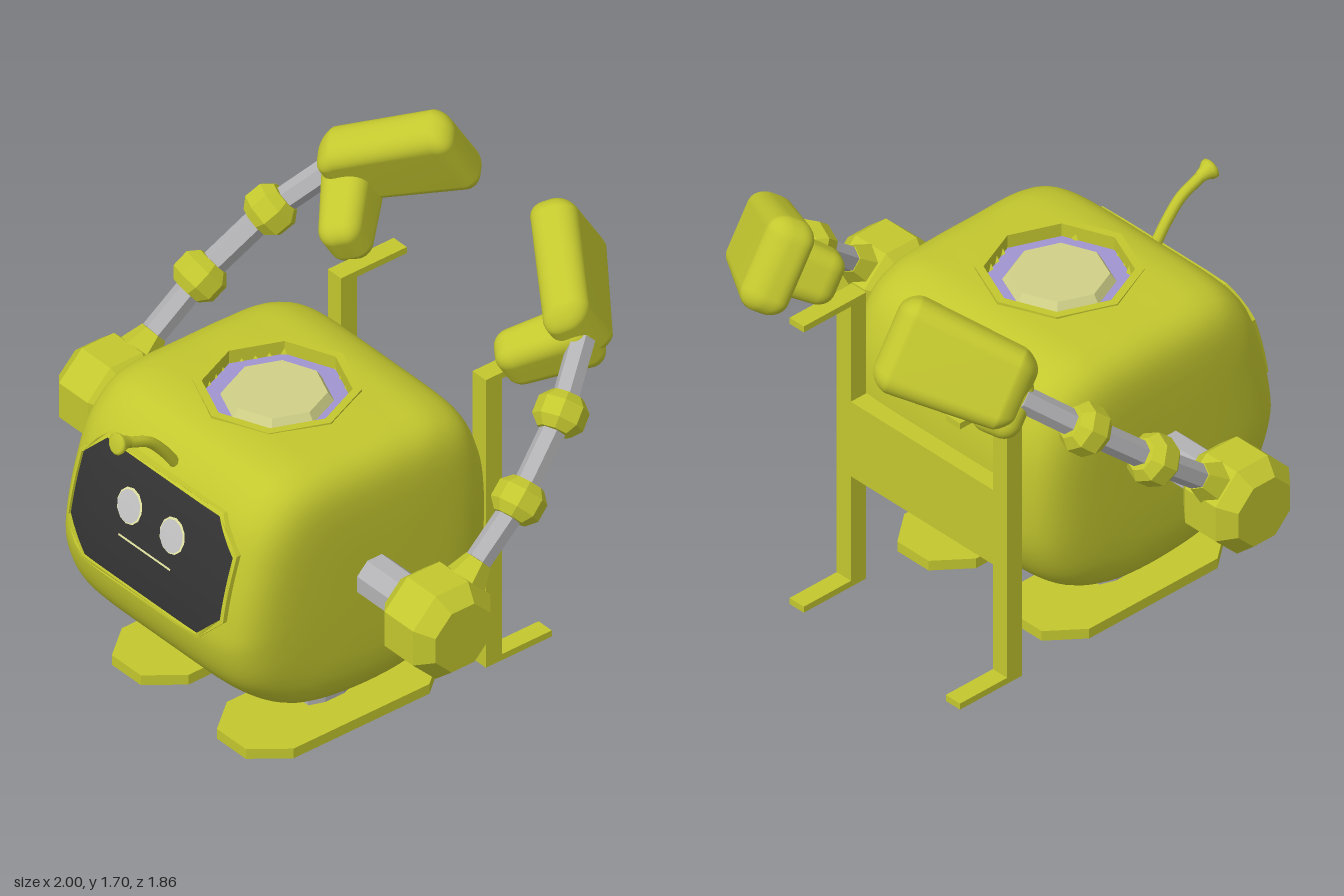
import * as THREE from 'three';
import { mergeVertices } from 'three/addons/utils/BufferGeometryUtils.js';
import { RoundedBoxGeometry } from 'three/addons/geometries/RoundedBoxGeometry.js';

const mat = (name, color) => {
  const m = new THREE.MeshStandardMaterial({ color });
  m.name = name;
  return m;
};
const V = (x, y, z) => new THREE.Vector3(x, y, z);

// Faceted copy of a geometry
function flat(geo) {
  const g = geo.index ? geo.toNonIndexed() : geo;
  g.computeVertexNormals();
  return g;
}
const lathe = (pts, sides) => flat(new THREE.LatheGeometry(pts.map(p => new THREE.Vector2(...p)), sides));

// Drum with chamfered ends
const drum = (r, len, end, chamfer, sides = 8) => lathe([
  [0, -len / 2], [end, -len / 2], [r, -len / 2 + chamfer],
  [r, len / 2 - chamfer], [end, len / 2], [0, len / 2]], sides);

// Octagon outline, each side subdivided so it can be bent
function octagon(w, h, c, n = 6) {
  const p = [[w, -h + c], [w, h - c], [w - c, h], [c - w, h], [-w, h - c], [-w, c - h], [c - w, -h], [w - c, -h]];
  return p.flatMap(([x, y], i) => {
    const [u, v] = p[(i + 1) % 8];
    return Array.from({ length: n }, (_, k) => new THREE.Vector2(x + (u - x) * k / n, y + (v - y) * k / n));
  });
}

// Rounded body: a side outline (z, y) swept across x and shrunk toward both sides
const HATCH_Z = 0.225;
function bodyGeometry() {
  const outline = [[.5, 1.188], [.6, 1.155], [.7, 1.05], [.765, .88], [.808, .68], [.812, .56], [.75, .4], [.56, .24],
    [.32, .185], [0, .2], [-.2, .295], [-.31, .46], [-.345, .7], [-.32, .95], [-.24, 1.11], [-.12, 1.175],
    [.05, 1.19], [.25, 1.192]];
  const curve = new THREE.CatmullRomCurve3(outline.map(([z, y]) => V(0, y, z)), true);
  const M = 160, ring = curve.getSpacedPoints(M), n = 6.5, half = [];
  for (let i = 1; i <= 22; i++) {
    const x = i * 0.019;
    half.push([x, Math.pow(1 - Math.pow(x / .53, n), 1 / n)]);
  }
  for (const s of [.94, .91, .87, .82, .76, .68, .55, .3, 0]) half.push([.53 * Math.pow(1 - Math.pow(s, n), 1 / n), s]);
  const rings = [...half.map(([x, s]) => [-x, s]).reverse(), [0, 1], ...half];
  const pos = [], idx = [];
  rings.forEach(([x, s], i) => {
    for (let j = 0; j < M; j++) {
      pos.push(x, .685 + (ring[j].y - .685) * s, .235 + (ring[j].z - .235) * s);
      if (i === rings.length - 1) continue;
      const a = i * M + j, c = i * M + (j + 1) % M;
      idx.push(a, c, a + M, a + M, c, c + M);
    }
  });
  const g = new THREE.BufferGeometry();
  g.setAttribute('position', new THREE.Float32BufferAttribute(pos, 3));
  g.setIndex(idx);
  g.computeVertexNormals();
  // Sink the top inside the octagonal hatch
  const p = g.attributes.position;
  for (let i = 0; i < p.count; i++) {
    const x = Math.abs(p.getX(i)), z = Math.abs(p.getZ(i) - HATCH_Z);
    const r = Math.max(x, z) + Math.min(x, z) * 0.414;
    if (p.getY(i) > 1 && r < .262) p.setY(i, 1.11);
  }
  return g;
}

// Soft box whose section is changed by a rule
function softBox(x, y, z, r, rule) {
  const g = new RoundedBoxGeometry(x, y, z, 5, r);
  g.deleteAttribute('normal');
  g.deleteAttribute('uv');
  g.clearGroups();
  const m = mergeVertices(g, 1e-4), p = m.attributes.position, v = V(0, 0, 0);
  for (let i = 0; i < p.count; i++) {
    rule(v.fromBufferAttribute(p, i));
    p.setXYZ(i, v.x, v.y, v.z);
  }
  m.computeVertexNormals();
  return m;
}

export function createModel() {
  const root = new THREE.Group();
  const olive = mat('olive', 0xc3c72e), grey = mat('grey', 0xb2b2b4), dark = mat('screenDark', 0x333333);
  const eyeGrey = mat('eyeGrey', 0xc4c4c4), pale = mat('paleYellow', 0xe8e8a4);
  const cream = mat('cream', 0xd0d088), purple = mat('purple', 0xa094d0);
  const add = (name, geo, material, x = 0, y = 0, z = 0, parent = root) => {
    const m = new THREE.Mesh(geo, material);
    m.name = name;
    m.position.set(x, y, z);
    parent.add(m);
    return m;
  };
  // Place a y-aligned part at a point, pointing along dir
  const aim = (mesh, dir) => {
    mesh.quaternion.setFromUnitVectors(V(0, 1, 0), dir.clone().normalize());
    return mesh;
  };
  const rod = (name, a, b, r, r2, material, parent) =>
    aim(add(name, flat(new THREE.CylinderGeometry(r2, r, a.distanceTo(b), 6)), material,
      ...a.clone().lerp(b, .5).toArray(), parent), b.clone().sub(a));

  const body = add('body', bodyGeometry(), olive);

  // Face details, laid on the curved front of the body
  const ray = new THREE.Raycaster();
  const drape = (geo, x, y, offset) => {
    geo.translate(x, y, 0);
    const p = geo.attributes.position;
    for (let i = 0; i < p.count; i++) {
      ray.set(V(p.getX(i), p.getY(i), 2), V(0, 0, -1));
      const hit = ray.intersectObject(body)[0];
      p.setZ(i, p.getZ(i) + offset + (hit ? hit.point.z : .8));
    }
    geo.computeVertexNormals();
    return geo;
  };
  const screen = new THREE.PlaneGeometry(.81, .44, 16, 12), sp = screen.attributes.position;
  for (let i = 0; i < sp.count; i++) sp.setX(i, sp.getX(i) * (1 - Math.max(0, Math.abs(sp.getY(i)) - .11) * .85 / .405));
  add('screen', drape(screen, 0, .82, .008), dark);
  const frame = new THREE.Shape(octagon(.415, .232, .108));
  frame.holes.push(new THREE.Path(octagon(.402, .219, .104).reverse()));
  add('screenFrame', drape(new THREE.ExtrudeGeometry(frame, { depth: .02, bevelEnabled: false }), 0, .82, -.002), olive);
  for (const s of [-1, 1]) {
    add('eyeOutline', drape(new THREE.CircleGeometry(.064, 12), s * .113, .882, .013), pale);
    add('eye', drape(new THREE.CircleGeometry(.058, 12), s * .113, .882, .017), eyeGrey);
  }
  add('mouth', drape(new THREE.PlaneGeometry(.275, .008, 8, 1), 0, .766, .013), pale);

  // Antenna
  const path = new THREE.CatmullRomCurve3([V(0, 1.06, .66), V(0, 1.15, .725), V(0, 1.215, .79), V(0, 1.245, .86), V(0, 1.262, .9)]);
  add('antenna', new THREE.TubeGeometry(path, 16, .02, 8), olive);
  aim(add('antennaTip', new THREE.LatheGeometry([[.02, -.02], [.026, .005], [.038, .025], [.039, .036], [.03, .042], [0, .042]]
    .map(p => new THREE.Vector2(...p)), 12), olive, 0, 1.258, .893), V(0, .25, 1));

  // Top hatch
  add('hatchRim', lathe([[.287, 1.12], [.287, 1.197], [.256, 1.197], [.256, 1.12]], 8), olive, 0, 0, HATCH_Z);
  add('hatchRing', flat(new THREE.CylinderGeometry(.262, .262, .02, 8)), purple, 0, 1.135, HATCH_Z);
  add('hatchCap', flat(new THREE.CylinderGeometry(.172, .195, .035, 8)), cream, 0, 1.16, HATCH_Z);

  // Foot outline
  const footShape = new THREE.Shape(octagon(.177, .423, .1, 1).map(p => p.set(p.x, Math.abs(p.y) < .4 ? p.y * .92 : p.y)));

  for (const s of [-1, 1]) {
    const side = s > 0 ? 'left' : 'right';

    // Arm
    const arm = new THREE.Group();
    arm.name = side + 'Arm';
    root.add(arm);
    const P = (x, y, z) => V(s * x, y, z);
    const axle = add('shoulderAxle', flat(new THREE.CylinderGeometry(.083, .083, .3, 8)), grey, s * .62, .7, .235, arm);
    const shoulder = add('shoulder', drum(.184, .27, .13, .06), olive, s * .865, .7, .235, arm);
    for (const m of [axle, shoulder]) m.rotation.set(Math.PI / 8, 0, Math.PI / 2);
    const base = P(.867, .80, .13), socket = P(.862, .865, .055), elbow = P(.848, 1.02, -.135);
    const wrist = P(.772, 1.228, -.38), end = P(.655, 1.39, -.57);
    rod('armSocket', base, socket, .085, .05, olive, arm);
    rod('upperRod', socket, elbow, .047, .047, grey, arm);
    rod('middleRod', elbow, wrist, .047, .047, grey, arm);
    rod('wristRod', wrist, end, .047, .047, grey, arm);
    aim(add('elbowJoint', drum(.092, .135, .06, .035), olive, ...elbow.toArray(), arm), wrist.clone().sub(socket));
    aim(add('wristJoint', drum(.092, .135, .06, .035), olive, ...wrist.toArray(), arm), end.clone().sub(elbow));

    // Mitten hand: long axis, width axis and palm direction
    const hand = new THREE.Group();
    hand.name = side + 'Hand';
    const L = P(.77, .33, -.53), W = P(0, .85, .53);
    L.x *= -1;
    const across = W.multiplyScalar(-s).normalize();
    L.normalize();
    const palm = L.clone().cross(across);
    hand.quaternion.setFromRotationMatrix(new THREE.Matrix4().makeBasis(L, across, palm));
    hand.position.set(s * .47, 1.48, -.69);
    arm.add(hand);
    add('mitten', softBox(.52, .37, .17, .07, v => {
      v.y *= 1 - 2.2 * Math.pow(v.x - .04, 2) - (v.x < -.1 ? (-.1 - v.x) * .9 : 0);
      v.z += .6 * v.x * v.x - .015;
    }), olive, 0, 0, 0, hand);
    add('thumb', softBox(.17, .21, .36, .06, v => {
      v.x *= 1 - .6 * v.z;
      v.y *= 1 - .6 * v.z;
    }), olive, -.19, s * .06, .14, hand);

    // Leg and foot
    const leg = add(side + 'Leg', flat(new THREE.CylinderGeometry(.1, .1, .2, 8).rotateY(Math.PI / 8)), grey, s * .277, .15, .232);
    leg.scale.set(.4, 1, 1.06);
    add(side + 'Foot', new THREE.ExtrudeGeometry(footShape, { depth: .04, bevelEnabled: false }).rotateX(Math.PI / 2),
      olive, s * .279, .077, .232);

    // Rear stand post with its two hooks
    add(side + 'StandPost', new THREE.BoxGeometry(.07, 1.19, .07), olive, s * .385, .595, -.377);
    for (const y of [.0125, 1.1775]) add('standHook', new THREE.BoxGeometry(.07, .025, .22), olive, s * .385, y, -.52);
  }
  add('standPlate', new THREE.BoxGeometry(.7, .31, .08), olive, 0, .615, -.372);
  return root;
}
